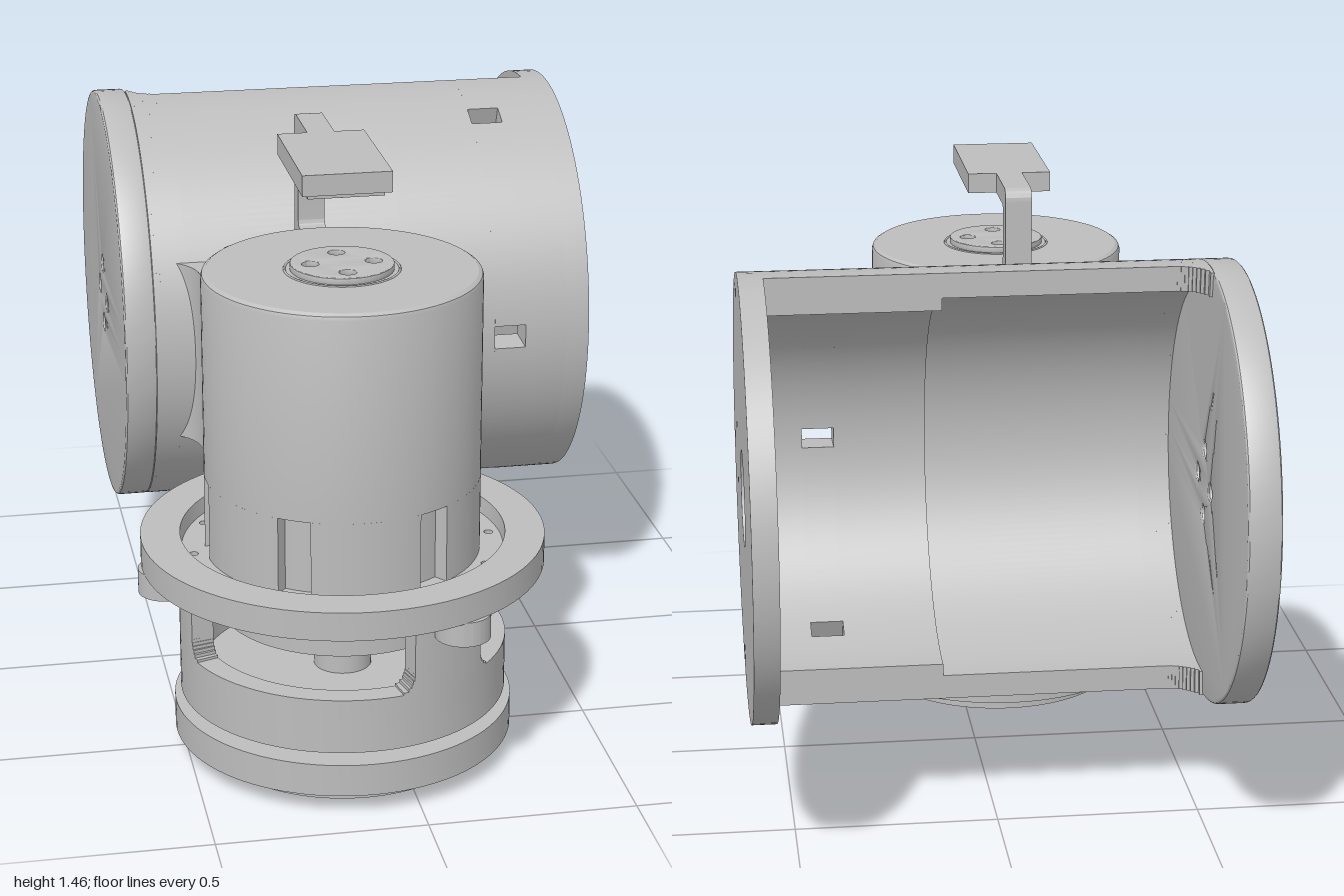
import * as THREE from 'three';
import { toCreasedNormals } from 'three/addons/utils/BufferGeometryUtils.js';

const grey = new THREE.MeshStandardMaterial({ color: 0xbdbdbd });
grey.name = 'machined grey';

const DEG = Math.PI / 180;
const TX = -0.115, TZ = 0.515;   // tower axis
const DY = 0.85, DZ = -0.465;    // drum axis

function add(parent, name, geo) {
  const mesh = new THREE.Mesh(geo, grey);
  mesh.name = name;
  parent.add(mesh);
  return mesh;
}

function group(parent, name, x = 0, y = 0, z = 0) {
  const g = new THREE.Group();
  g.name = name;
  g.position.set(x, y, z);
  parent.add(g);
  return g;
}

function extrude(shape, depth, bevel = 0) {
  const geo = new THREE.ExtrudeGeometry(shape, {
    depth: depth - 2 * bevel, curveSegments: 48,
    bevelEnabled: bevel > 0, bevelSize: bevel, bevelThickness: bevel, bevelOffset: -bevel, bevelSegments: 3,
  });
  geo.translate(0, 0, bevel);
  return toCreasedNormals(geo, 0.5);
}

// Shape coordinates are (x, -z), raised from y0 to y1
const upright = (shape, y0, y1, bevel) =>
  extrude(shape, y1 - y0, bevel).rotateX(-Math.PI / 2).translate(0, y0, 0);

// Shape coordinates are (-z, y), spread from x0 to x1
const sideways = (shape, x0, x1, bevel) =>
  extrude(shape, x1 - x0, bevel).rotateY(Math.PI / 2).translate(x0, 0, 0);

function disc(r, holes = []) {
  const s = new THREE.Shape().absarc(0, 0, r, 0, Math.PI * 2, false);
  for (const [x, y, hr] of holes) s.holes.push(new THREE.Path().absarc(x, y, hr, 0, Math.PI * 2, true));
  return s;
}

// Ring sector between two angles in degrees
function sector(rIn, rOut, a0, a1) {
  const s = new THREE.Shape();
  s.absarc(0, 0, rOut, a0 * DEG, a1 * DEG, false);
  s.absarc(0, 0, rIn, a1 * DEG, a0 * DEG, true);
  s.closePath();
  return s;
}

function lathe(points) {
  return toCreasedNormals(new THREE.LatheGeometry(points.map(p => new THREE.Vector2(...p)), 96), 0.5);
}

const cross = (d, r) => [[d, 0, r], [-d, 0, r], [0, d, r], [0, -d, r]];

function buildBase(root) {
  const base = group(root, 'base', TX, 0, TZ);
  // Stepped cup with a groove
  add(base, 'baseCup', lathe([
    [0, 0], [0.33, 0], [0.33, 0.05], [0.41, 0.05], [0.41, 0.13], [0.335, 0.13], [0.335, 0.155],
    [0.395, 0.155], [0.395, 0.29], [0.34, 0.29], [0.34, 0.2], [0, 0.2]]));
  add(base, 'motorDisc', lathe([[0, 0.355], [0.295, 0.355], [0.295, 0.455], [0, 0.455]]));
  add(base, 'motorShaft', new THREE.CylinderGeometry(0.07, 0.07, 0.3, 32).translate(0, 0.345, 0));
  // Three posts with flared feet, each carrying a screw lug
  for (const a of [30, 150, 270]) {
    const c = a - 90;
    add(base, 'post', upright(sector(0.34, 0.395, c - 15, c + 15), 0.285, 0.485));
    const n = 6, h = 0.05;
    for (let i = 0; i < n; i++) {
      const t = 1 - (i + 0.5) / n;
      const w = 15 + 7 * (1 - Math.sqrt(1 - t * t));
      add(base, 'postFoot', upright(sector(0.34, 0.395, c - w, c + w), 0.288 + i * h / n, 0.288 + (i + 1) * h / n));
    }
    const lug = add(base, 'screwLug', upright(disc(0.065, [[0, 0, 0.022]]), 0.425, 0.486));
    lug.position.set(0.43 * Math.sin(a * DEG), 0, 0.43 * Math.cos(a * DEG));
  }
}

function buildTower(root) {
  const tower = group(root, 'tower', TX, 0, TZ);
  // Flange: raised rim around a recessed floor with small holes
  add(tower, 'flangeRim', lathe([
    [0.385, 0.485], [0.485, 0.485], [0.485, 0.555], [0.39, 0.555], [0.385, 0.5]]));
  const holes = [];
  for (let i = 0; i < 12; i++) holes.push([0.36 * Math.cos(i * 30 * DEG), 0.36 * Math.sin(i * 30 * DEG), 0.011]);
  add(tower, 'flangeFloor', upright(disc(0.39, holes), 0.485, 0.515));
  // Housing with six notches around its foot
  add(tower, 'housingCore', new THREE.CylinderGeometry(0.295, 0.295, 0.25, 64).translate(0, 0.62, 0));
  for (let i = 0; i < 6; i++) {
    const c = i * 60 - 90;
    add(tower, 'housingFoot', upright(sector(0.28, 0.33, c - 23, c + 23), 0.51, 0.705));
  }
  add(tower, 'housing', lathe([
    [0, 0.705], [0.33, 0.705], [0.33, 1.195], [0.327, 1.204], [0.318, 1.21], [0, 1.21]]));
  // Output hub with four holes
  add(tower, 'hub', upright(disc(0.122, cross(0.075, 0.02)), 1.208, 1.226, 0.003));
  add(tower, 'hubRing', new THREE.TorusGeometry(0.135, 0.003, 6, 64).rotateX(Math.PI / 2).translate(0, 1.21, 0));
}

function buildNeck(root) {
  // Flared arm joining tower and drum
  const s = new THREE.Shape();
  const hw = 0.28;
  s.moveTo(-0.335, -0.012);
  s.quadraticCurveTo(-hw, -0.05, -hw, -0.13);
  s.lineTo(-hw, -0.36);
  s.lineTo(hw, -0.36);
  s.lineTo(hw, -0.13);
  s.quadraticCurveTo(hw, -0.05, 0.335, -0.012);
  s.closePath();
  for (const x of [-0.15, 0.15]) {
    const p = new THREE.Path();
    p.moveTo(x - 0.03, -0.1).lineTo(x - 0.03, -0.13).lineTo(x + 0.03, -0.13).lineTo(x + 0.03, -0.1).closePath();
    s.holes.push(p);
  }
  add(root, 'neck', upright(s, 0.62, 1.08)).position.x = TX;
}

function buildDrum(root) {
  const drum = group(root, 'drum', 0, DY, DZ);
  const R = 0.535;
  // End plates
  add(drum, 'drivePlate', sideways(disc(R, cross(0.082, 0.02)), -0.58, -0.5, 0.008));
  add(drum, 'openPlate', sideways(disc(R, [
    [0, 0, 0.115], [-0.17, 0.465, 0.018], [-0.17, -0.46, 0.018],
    [-0.5, 0, 0.018], [-0.335, 0.07, 0.016], [-0.335, -0.075, 0.016]]), 0.545, 0.605));
  // Half shell facing front, thicker towards the open plate
  const shell = (x0, x1, rIn, a0 = -90, a1 = 90) =>
    add(drum, 'shell', sideways(sector(rIn, R, 180 + a0, 180 + a1), x0, x1));
  const fillet = 0.085, n = 10;
  for (let i = 0; i < n; i++) {
    const t = 1 - (i + 0.5) / n;
    const w = 90 + fillet * (1 - Math.sqrt(1 - t * t)) / R / DEG;
    shell(-0.502 + i * fillet / n, -0.502 + (i + 1) * fillet / n, 0.475, -w, w);
  }
  shell(-0.417, 0.13, 0.475);
  shell(0.13, 0.36, 0.445);
  shell(0.44, 0.546, 0.445);
  // Strip broken by three screw slots
  for (const [a0, a1] of [[-90, -70.2], [-63.8, -3.2], [3.2, 63.8], [70.2, 90]]) shell(0.36, 0.44, 0.445, a0, a1);
}

function buildBracket(root) {
  const bracket = group(root, 'sensorBracket', TX, 0, 0);
  // Curved foot hugging the back of the tower
  add(bracket, 'bracketFoot', upright(sector(0.32, 0.358, 48, 132), 1.12, 1.19)).position.z = TZ;
  // C shaped arm
  const s = new THREE.Shape();
  s.moveTo(-0.19, 1.12).lineTo(-0.065, 1.12);
  s.quadraticCurveTo(-0.04, 1.12, -0.04, 1.145);
  s.lineTo(-0.04, 1.43);
  s.quadraticCurveTo(-0.04, 1.46, -0.07, 1.46);
  s.lineTo(-0.24, 1.46).lineTo(-0.24, 1.41).lineTo(-0.11, 1.41);
  s.quadraticCurveTo(-0.095, 1.41, -0.095, 1.395);
  s.lineTo(-0.095, 1.2);
  s.quadraticCurveTo(-0.095, 1.185, -0.11, 1.185);
  s.lineTo(-0.19, 1.185).closePath();
  add(bracket, 'bracketArm', sideways(s, -0.033, 0.033));
  // Sensor board above the hub
  add(bracket, 'sensorPlate', new THREE.BoxGeometry(0.21, 0.05, 0.355).translate(0, 1.435, 0.41));
  add(bracket, 'sensorPad', new THREE.BoxGeometry(0.18, 0.014, 0.21).translate(0, 1.405, 0.465));
  add(bracket, 'sensorTip', new THREE.CylinderGeometry(0.022, 0.022, 0.01, 24).translate(0, 1.394, 0.52));
}

export function createModel() {
  const root = new THREE.Group();
  root.name = 'rotaryJoint';
  buildBase(root);
  buildTower(root);
  buildNeck(root);
  buildDrum(root);
  buildBracket(root);
  return root;
}
